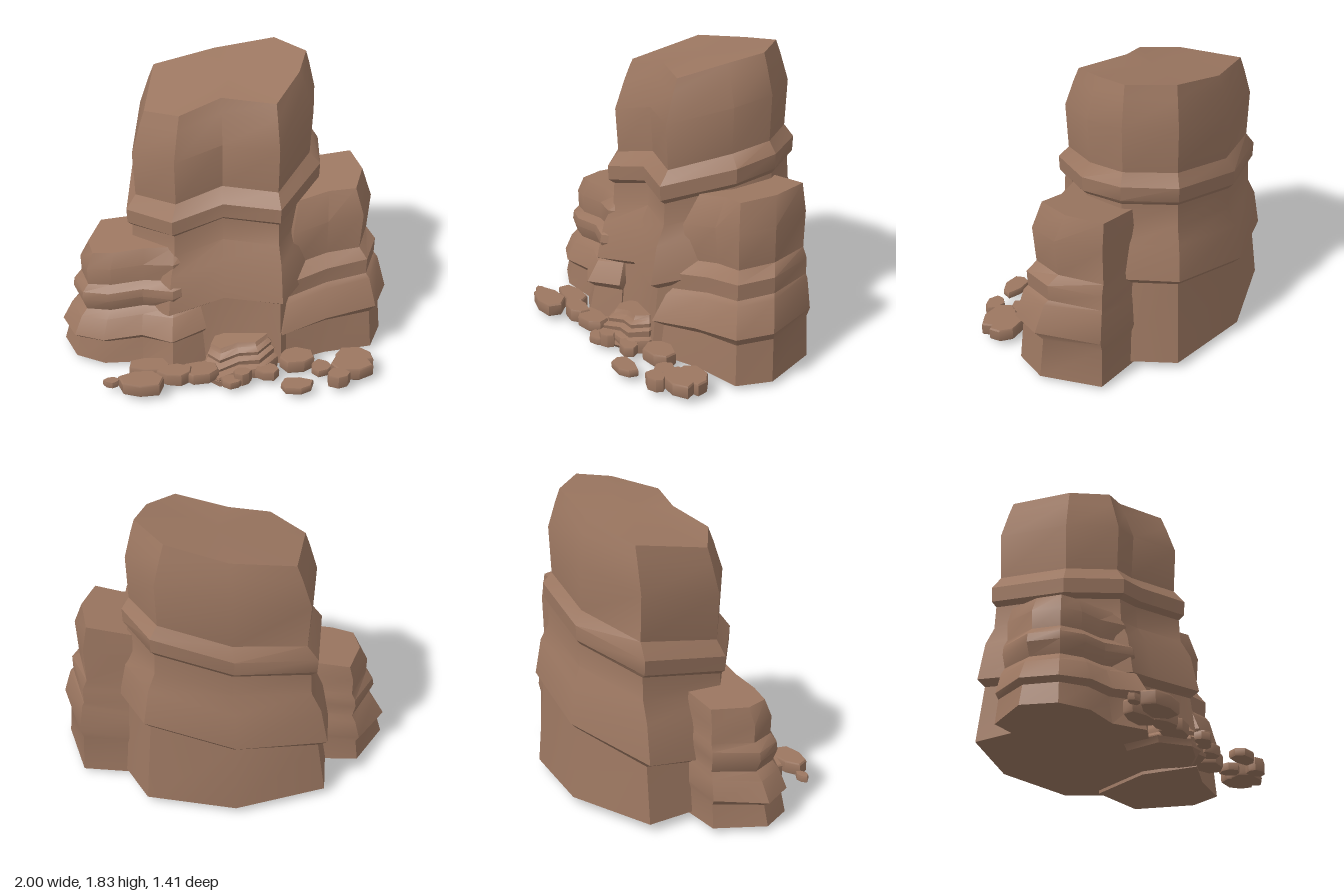
import * as THREE from 'three';
import { toCreasedNormals } from 'three/addons/utils/BufferGeometryUtils.js';

const rock = new THREE.MeshStandardMaterial({ color: 0x9c7761 });
rock.name = 'brown sandstone';

// Lofts a closed rock between a base and a top outline ([x, z], clockwise from above).
// levels: [y, blend], blend 0 = top outline, 1 = base outline; strata tilt by slope.
function stratifiedRock(name, base, top, levels, { slope = [0, 0], centre = [0, 0], flat = 0.4, lift = [] }) {
  const n = base.length, pos = [], index = [];
  const addRing = ([y, t]) => {
    const k = Math.min(1, Math.max(0, (y - levels[0][0]) / flat));
    const sum = [0, 0, 0];
    for (let i = 0; i < n; i++) {
      const x = THREE.MathUtils.lerp(top[i][0], base[i][0], t);
      const z = THREE.MathUtils.lerp(top[i][1], base[i][1], t);
      const h = y + k * (slope[0] * (x - centre[0]) + slope[1] * (z - centre[1]) + (lift[i] || 0));
      pos.push(x, h, z);
      [x, h, z].forEach((v, a) => (sum[a] += v / n));
    }
    return sum;
  };
  const middles = levels.map(addRing);
  const bottom = levels.length * n, peak = bottom + 1, last = bottom - n;
  pos.push(...middles[0], ...middles[middles.length - 1]);
  for (let i = 0; i < n; i++) {
    const j = (i + 1) % n;
    for (let r = 0; r < last; r += n) {
      index.push(r + i, r + n + i, r + j, r + j, r + n + i, r + n + j);
    }
    index.push(bottom, i, j, peak, last + j, last + i);
  }
  const g = new THREE.BufferGeometry();
  g.setAttribute('position', new THREE.Float32BufferAttribute(pos, 3));
  g.setIndex(index);
  const mesh = new THREE.Mesh(toCreasedNormals(g, 0.55), rock);
  mesh.name = name;
  return mesh;
}

export function createModel() {
  const group = new THREE.Group();
  group.name = 'rockFormation';

  // Tall central tower
  group.add(stratifiedRock('mainTower',
    [[-0.65, -0.5], [-0.125, -0.71], [0.415, -0.65], [0.61, -0.36], [0.64, -0.06], [0.35, 0.37], [0, 0.28], [-0.33, 0.35], [-0.65, 0.08]],
    [[-0.435, -0.455], [-0.07, -0.55], [0.29, -0.52], [0.475, -0.305], [0.43, -0.09], [0.295, 0.16], [-0.02, 0.06], [-0.26, 0.145], [-0.47, 0]],
    [[0.05, 1], [0.45, 0.76], [0.49, 1.02], [0.72, 0.8], [0.83, 0.52], [0.97, 0.48], [1.0, 0.64], [1.09, 0.66], [1.17, 0.35], [1.45, 0.42], [1.62, 0.15], [1.7, 0]],
    { slope: [0.16, -0.09], lift: [0, 0, 0.03, 0.03, 0.02, -0.02, 0.01, -0.02, -0.04] }));

  // Medium buttress on the model's left
  group.add(stratifiedRock('leftButtress',
    [[0.45, -0.42], [0.84, -0.41], [0.98, -0.06], [0.91, 0.15], [0.62, 0.22], [0.36, 0.34], [0.3, 0]],
    [[0.48, -0.38], [0.77, -0.385], [0.83, -0.16], [0.78, 0.05], [0.62, 0.04], [0.44, 0.1], [0.35, -0.05]],
    [[0.03, 1], [0.27, 0.85], [0.32, 1.12], [0.5, 0.78], [0.53, 0.62], [0.63, 0.64], [0.7, 0.27], [0.93, 0.38], [1.1, 0]],
    { slope: [0.17, -0.05], centre: [0.7, -0.1] }));

  // Low buttress on the model's right
  group.add(stratifiedRock('rightButtress',
    [[-0.85, -0.2], [-0.5, -0.22], [-0.2, -0.1], [-0.11, 0.32], [-0.31, 0.43], [-0.5, 0.33], [-0.73, 0.35], [-0.91, 0.27], [-1, 0.08]],
    [[-0.77, -0.17], [-0.5, -0.18], [-0.25, -0.05], [-0.21, 0.18], [-0.3, 0.22], [-0.48, 0.2], [-0.66, 0.21], [-0.79, 0.19], [-0.83, 0.05]],
    [[0.03, 1], [0.2, 0.8], [0.24, 1.04], [0.36, 0.68], [0.4, 0.4], [0.48, 0.6], [0.53, 0.55], [0.57, 0.28], [0.68, 0.3], [0.77, 0]],
    { slope: [0.14, -0.04], centre: [-0.5, 0.1], flat: 0.25 }));

  // Small layered ledge at the foot of the tower
  group.add(stratifiedRock('footLedge',
    [[-0.1, 0.25], [0.3, 0.25], [0.33, 0.38], [0.23, 0.49], [0.1, 0.48], [-0.03, 0.54], [-0.13, 0.42]],
    [[-0.05, 0.25], [0.24, 0.25], [0.26, 0.33], [0.19, 0.39], [0.08, 0.37], [-0.02, 0.4], [-0.08, 0.34]],
    [[0.02, 0.9], [0.06, 1], [0.085, 0.95], [0.095, 0.6], [0.125, 0.65], [0.14, 0.35], [0.165, 0.4], [0.185, 0.12], [0.21, 0]],
    { slope: [0.2, -0.08], centre: [0.1, 0.35], flat: 0.1 }));

  // Thin slab under the ledge
  group.add(stratifiedRock('footSlab',
    [[-0.16, 0.2], [0.2, 0.2], [0.26, 0.35], [0.14, 0.46], [-0.02, 0.54], [-0.18, 0.42]],
    [[-0.2, 0.2], [0.24, 0.2], [0.3, 0.37], [0.16, 0.49], [-0.03, 0.54], [-0.2, 0.43]],
    [[0, 0.9], [0.035, 0]], { flat: 1 }));

  // Scattered flat stones: x, z, radius x, radius z, top y
  const stones = [
    [-0.45, 0.475, 0.13, 0.075, 0.12], [-0.49, 0.62, 0.14, 0.09, 0.12], [-0.67, 0.585, 0.05, 0.035, 0.08],
    [-0.29, 0.53, 0.11, 0.07, 0.12], [-0.14, 0.5, 0.12, 0.08, 0.11], [0.05, 0.57, 0.07, 0.05, 0.085],
    [0.11, 0.54, 0.06, 0.045, 0.12], [0.435, 0.605, 0.11, 0.065, 0.085], [0.44, 0.375, 0.12, 0.085, 0.12],
    [0.59, 0.43, 0.07, 0.065, 0.085], [0.69, 0.55, 0.08, 0.055, 0.12], [0.79, 0.36, 0.13, 0.08, 0.12],
    [0.77, 0.44, 0.14, 0.085, 0.12], [0.26, 0.48, 0.08, 0.06, 0.1],
  ];
  stones.forEach(([x, z, rx, rz, y], s) => {
    const outline = (scale) => Array.from({ length: 7 }, (_, i) => {
      const a = (i / 7) * Math.PI * 2 + s * 0.7;
      const r = scale * (0.95 + 0.1 * Math.sin(i * 2.3 + s * 1.7));
      return [x + Math.cos(a) * rx * r, z + Math.sin(a) * rz * r];
    });
    group.add(stratifiedRock('stone' + (s + 1), outline(1), outline(0.94),
      [[0.04, 0.2], [0.05, 1], [y - 0.01, 1], [y, 0]], {}));
  });
  return group;
}
